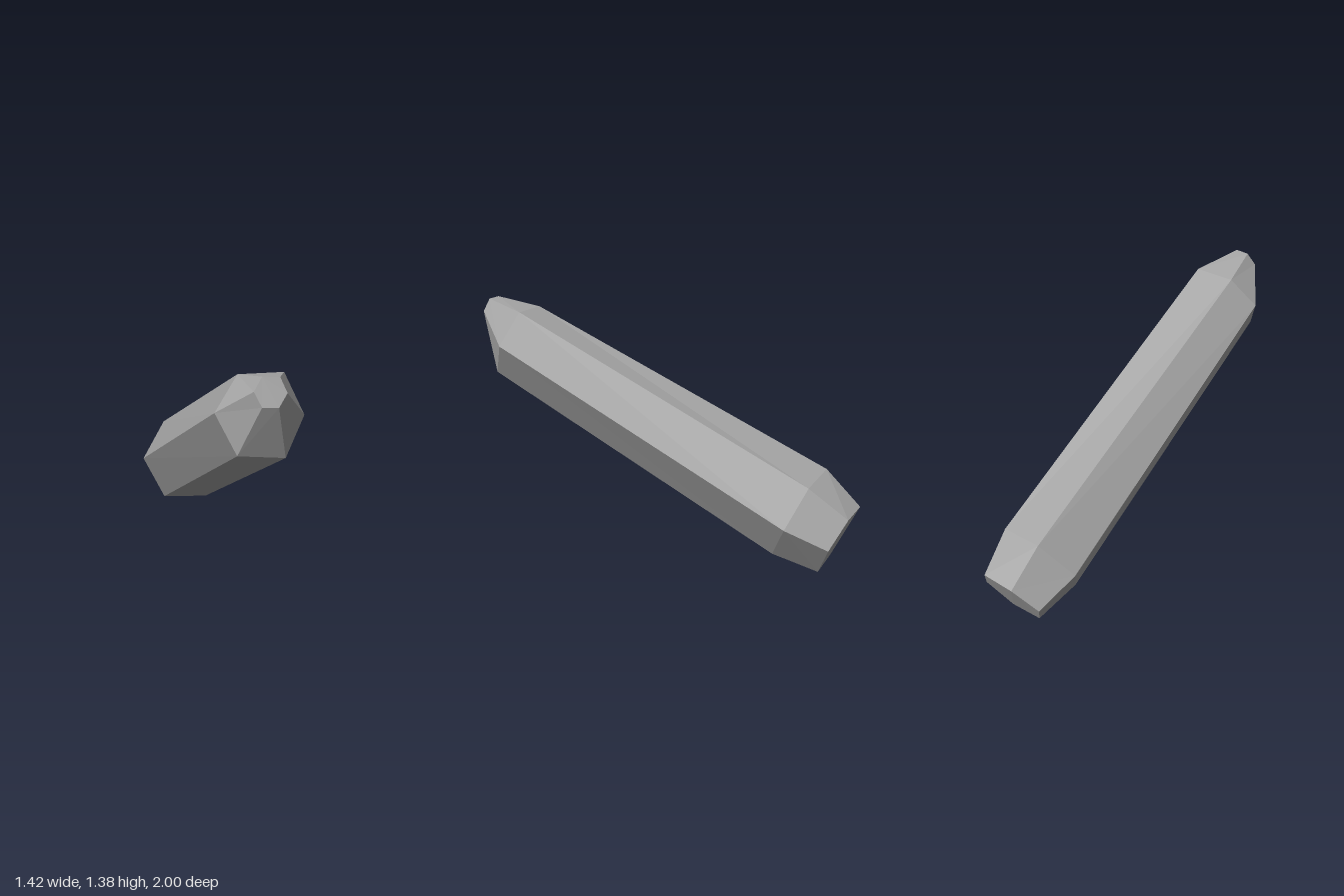
import * as THREE from 'three';

// Six-sided cross-sections from the base to the tip, clockwise seen from the tip
const sections = {
  base: [[-0.66, 0.344, -0.9], [-0.479, 0.33, -1], [-0.368, 0.169, -0.973],
    [-0.417, 0, -0.845], [-0.6, 0.031, -0.745], [-0.714, 0.202, -0.772]],
  lower: [[-0.57, 0.53, -0.72], [-0.336, 0.49, -0.838], [-0.198, 0.27, -0.806],
    [-0.256, 0.077, -0.646], [-0.486, 0.099, -0.5], [-0.645, 0.325, -0.545]],
  upper: [[0.398, 1.331, 0.772], [0.595, 1.327, 0.645], [0.711, 1.133, 0.683],
    [0.661, 0.955, 0.828], [0.455, 0.98, 0.946], [0.328, 1.17, 0.908]],
  tip: [[0.574, 1.384, 0.955], [0.65, 1.38, 0.92], [0.688, 1.308, 0.925],
    [0.66, 1.246, 0.965], [0.589, 1.25, 1], [0.547, 1.32, 0.995]],
};

function facets(triangles) {
  const geometry = new THREE.BufferGeometry();
  geometry.setAttribute('position', new THREE.Float32BufferAttribute(triangles.flat(), 3));
  geometry.computeVertexNormals();
  return geometry;
}

// Ring of side faces between two cross-sections
function band(low, high) {
  const tris = [];
  for (let i = 0; i < low.length; i++) {
    const j = (i + 1) % low.length;
    tris.push(low[j], low[i], high[i], low[j], high[i], high[j]);
  }
  return facets(tris);
}

// Flat end face
function cap(ring, flip) {
  const tris = [];
  for (let i = 1; i < ring.length - 1; i++) {
    tris.push(ring[0], ...(flip ? [ring[i + 1], ring[i]] : [ring[i], ring[i + 1]]));
  }
  return facets(tris);
}

export function createModel() {
  const stone = new THREE.MeshStandardMaterial({ color: 0xa6a6a6, flatShading: true });
  stone.name = 'grey crystal';
  const crystal = new THREE.Group();
  crystal.name = 'crystal';
  const { base, lower, upper, tip } = sections;

  const parts = {
    baseFace: cap(base, false),
    baseTaper: band(base, lower),
    shaft: band(lower, upper),
    tipTaper: band(upper, tip),
    tipFace: cap(tip, true),
  };
  for (const [name, geometry] of Object.entries(parts)) {
    const mesh = new THREE.Mesh(geometry, stone);
    mesh.name = name;
    crystal.add(mesh);
  }
  return crystal;
}
